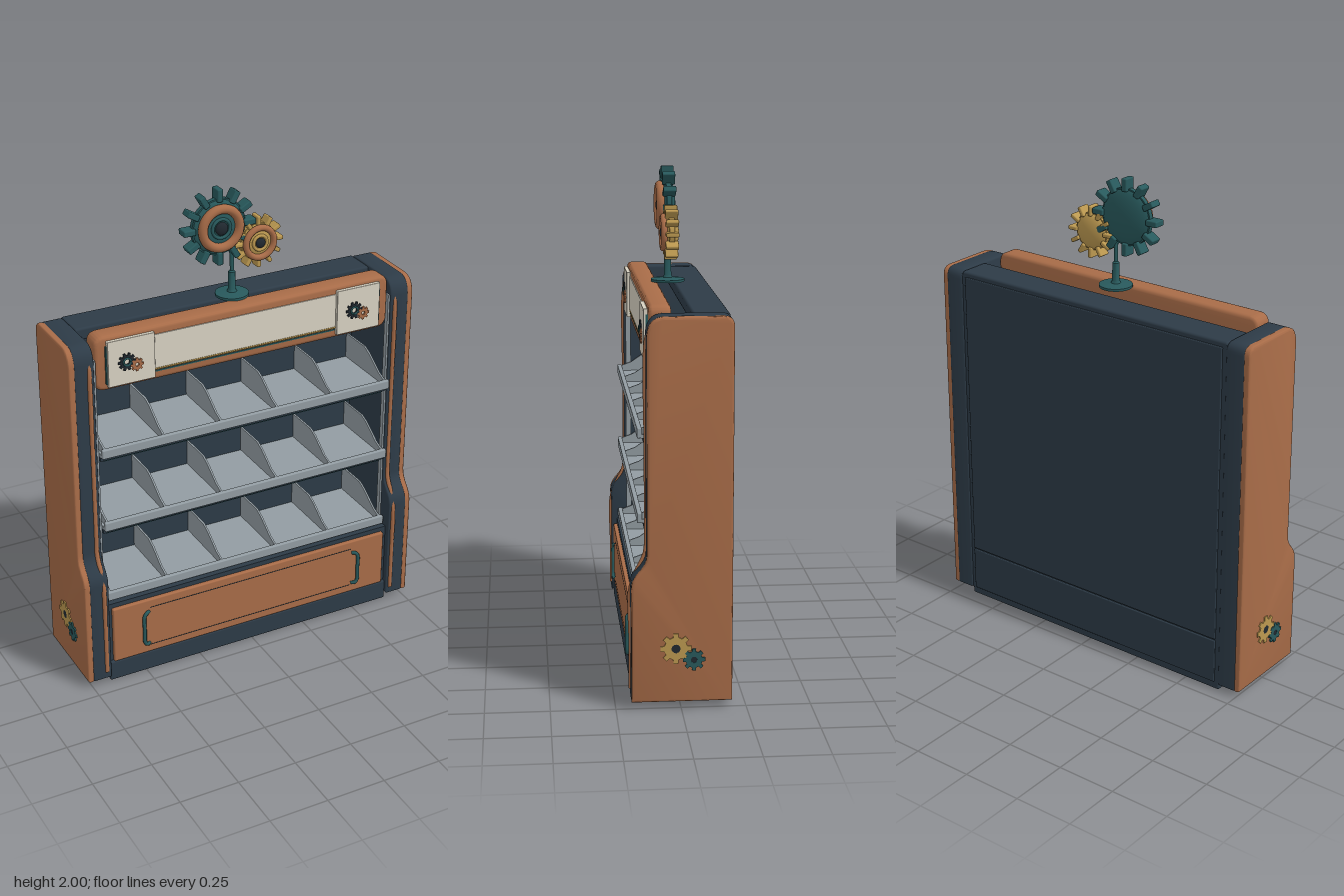
import * as THREE from 'three';
import { RoundedBoxGeometry } from 'three/addons/geometries/RoundedBoxGeometry.js';
import { toCreasedNormals } from 'three/addons/utils/BufferGeometryUtils.js';

const mat = (name, color) => {
  const m = new THREE.MeshStandardMaterial({ color });
  m.name = name;
  return m;
};

export function createModel() {
  const model = new THREE.Group();
  model.name = 'displayStand';
  const navy = mat('navy', 0x2d3b47), orange = mat('copper', 0xa86c48), grey = mat('grey', 0x929ca2);
  const cream = mat('cream', 0xd8d2c2), gold = mat('gold', 0xbb9850), teal = mat('teal', 0x28595c);
  const dark = mat('dark', 0x20282f);

  const add = (name, geo, material, x = 0, y = 0, z = 0, parent = model) => {
    const m = new THREE.Mesh(geo, material);
    m.name = name;
    m.position.set(x, y, z);
    parent.add(m);
    return m;
  };
  // Box given by its limits, optionally with rounded edges
  const box = (name, material, x0, x1, y0, y1, z0, z1, r = 0) => {
    const s = [x1 - x0, y1 - y0, z1 - z0];
    const geo = r ? new RoundedBoxGeometry(...s, 2, r) : new THREE.BoxGeometry(...s);
    return add(name, geo, material, (x0 + x1) / 2, (y0 + y1) / 2, (z0 + z1) / 2);
  };
  // Extrude a (z, y) outline along x, centred on x = 0
  const sideExtrude = (shape, width, bevel = 0) => {
    const geo = new THREE.ExtrudeGeometry(shape, {
      depth: width - 2 * bevel, bevelEnabled: bevel > 0, bevelSize: bevel, bevelThickness: bevel,
      bevelOffset: -bevel, bevelSegments: 3, curveSegments: 8,
    });
    geo.translate(0, 0, -(width - 2 * bevel) / 2).rotateY(-Math.PI / 2);
    return toCreasedNormals(geo, 0.6);
  };

  // Cabinet side outline with a swelling at the lower front
  const side = new THREE.Shape();
  side.moveTo(-0.195, 0.03);
  side.lineTo(0.19, 0.03);
  side.lineTo(0.19, 0.48);
  side.bezierCurveTo(0.19, 0.54, 0.13, 0.55, 0.13, 0.61);
  side.lineTo(0.13, 1.445);
  side.quadraticCurveTo(0.125, 1.515, 0.06, 1.515);
  side.lineTo(-0.155, 1.515);
  side.quadraticCurveTo(-0.195, 1.515, -0.195, 1.475);
  side.closePath();
  const coreGeo = sideExtrude(side, 0.085, 0.008);
  const cheekGeo = sideExtrude(side, 0.03, 0.01);

  // Trim tube following the front edge
  const trimPath = new THREE.CatmullRomCurve3([
    [0.06, 0.187], [0.25, 0.187], [0.46, 0.187], [0.53, 0.163], [0.6, 0.131], [0.7, 0.127],
    [1.0, 0.127], [1.4, 0.127], [1.455, 0.115], [1.48, 0.095],
  ].map(([y, z]) => new THREE.Vector3(0, y, z)));
  const trimGeo = new THREE.TubeGeometry(trimPath, 60, 0.01, 8);

  for (const s of [1, -1]) {
    add('sidePanel', coreGeo, navy, s * 0.7055);
    add('sideCheek', cheekGeo, orange, s * 0.755);
    add('sideTrim', trimGeo, orange, s * 0.684);
    box('innerLiner', grey, s * 0.659 - 0.004, s * 0.659 + 0.004, 0.38, 1.45, 0.1, 0.122);
  }

  // Carcass
  box('plinth', navy, -0.665, 0.665, 0, 0.09, -0.19, 0.18, 0.008);
  box('lowerBody', navy, -0.665, 0.665, 0.08, 0.365, -0.18, 0.165);
  box('backWall', navy, -0.665, 0.665, 0.03, 1.5, -0.19, -0.165);
  box('roof', navy, -0.665, 0.665, 1.46, 1.512, -0.19, -0.05, 0.01);
  box('backPlateUpper', navy, -0.645, 0.645, 0.232, 1.49, -0.198, -0.188, 0.004);
  box('backPlateLower', navy, -0.645, 0.645, 0.035, 0.226, -0.198, -0.188, 0.004);

  // Shelves with lips and dividers
  const divider = new THREE.Shape([
    [-0.166, -0.02], [0.142, -0.02], [0.142, 0.015], [0.1, 0.03], [0.02, 0.085], [-0.02, 0.102], [-0.166, 0.102],
  ].map(([z, y]) => new THREE.Vector2(z, y)));
  const dividerGeo = sideExtrude(divider, 0.008);
  for (const y of [0.4, 0.73, 1.06]) {
    box('shelf', grey, -0.655, 0.655, y - 0.022, y - 0.008, -0.166, 0.145);
    box('shelfSupport', navy, -0.655, 0.655, y - 0.042, y - 0.022, -0.166, 0.135);
    box('shelfStrip', teal, -0.64, 0.64, y - 0.048, y - 0.042, 0.115, 0.13);
    box('shelfLip', grey, -0.655, 0.655, y - 0.023, y + 0.017, 0.141, 0.16, 0.005);
    for (let i = 0; i < 6; i++) add('divider', dividerGeo, grey, -0.64 + i * 0.256, y);
  }

  // Drawer front with an outline groove and handles
  box('drawerFront', orange, -0.645, 0.645, 0.09, 0.345, 0.16, 0.182, 0.006);
  for (const y of [0.125, 0.308]) box('drawerGroove', dark, -0.48, 0.48, y - 0.0015, y + 0.0015, 0.181, 0.183);
  for (const s of [1, -1]) {
    const path = new THREE.CatmullRomCurve3([
      [0.485, 0.135, 0.181], [0.5, 0.137, 0.19], [0.51, 0.15, 0.192], [0.511, 0.21, 0.192],
      [0.51, 0.275, 0.192], [0.5, 0.288, 0.19], [0.485, 0.29, 0.181],
    ].map(([x, y, z]) => new THREE.Vector3(s * x, y, z)));
    add('drawerHandle', new THREE.TubeGeometry(path, 30, 0.008, 8), teal);
  }

  // Header sign
  const header = new THREE.Shape();
  const hx = 0.655, y0 = 1.31, y1 = 1.54, r = 0.045;
  header.moveTo(-hx + r, y0);
  header.lineTo(hx - r, y0);
  header.quadraticCurveTo(hx, y0, hx, y0 + r);
  header.lineTo(hx, y1 - r);
  header.quadraticCurveTo(hx, y1, hx - r, y1);
  header.lineTo(-hx + r, y1);
  header.quadraticCurveTo(-hx, y1, -hx, y1 - r);
  header.lineTo(-hx, y0 + r);
  header.quadraticCurveTo(-hx, y0, -hx + r, y0);
  const headerGeo = new THREE.ExtrudeGeometry(header, {
    depth: 0.055, bevelSize: 0.015, bevelThickness: 0.015, bevelOffset: -0.015, bevelSegments: 3,
  });
  add('headerSign', toCreasedNormals(headerGeo, 0.6), orange, 0, 0, 0.045);
  box('headerPanel', cream, -0.6, 0.6, 1.36, 1.505, 0.112, 0.119);
  box('headerGoldLine', gold, -0.41, 0.41, 1.356, 1.362, 0.113, 0.121);
  box('headerLowerLine', teal, -0.6, 0.6, 1.345, 1.351, 0.112, 0.118);

  // Flat toothed wheel outline with a centre hole
  const flatGear = (radius, teeth, depth) => {
    const pts = [];
    for (let i = 0; i < teeth; i++) {
      [[-0.3, 0.75], [-0.2, 1], [0.2, 1], [0.3, 0.75]].forEach(([f, k]) => {
        const a = ((i + f) / teeth) * Math.PI * 2;
        pts.push(new THREE.Vector2(Math.cos(a) * radius * k, Math.sin(a) * radius * k));
      });
    }
    const shape = new THREE.Shape(pts);
    shape.holes.push(new THREE.Path().absarc(0, 0, radius * 0.28, 0, Math.PI * 2, true));
    return new THREE.ExtrudeGeometry(shape, { depth, bevelEnabled: false });
  };
  for (const s of [1, -1]) {
    const x = s * 0.507;
    box('signTile', cream, x - 0.1, x + 0.1, 1.328, 1.522, 0.115, 0.132, 0.003);
    box('signTileEdge', teal, s * 0.609 - 0.003, s * 0.609 + 0.003, 1.34, 1.5, 0.113, 0.124);
    const gx = s * 0.507 - 0.022;
    add('ornamentGear', flatGear(0.037, 10, 0.006), dark, gx, 1.425, 0.132);
    add('ornamentGearRing', new THREE.TorusGeometry(0.015, 0.004, 6, 20), teal, gx, 1.425, 0.138);
    add('ornamentGearSmall', flatGear(0.028, 8, 0.007), orange, gx + 0.042, 1.405, 0.132);
  }

  // Gear pair on each outer side, turned half round for the second side
  for (const s of [1, -1]) {
    const pair = new THREE.Group();
    pair.name = 'sideGears';
    add('goldGear', flatGear(0.06, 8, 0.006), gold, -0.022, 0.245, 0, pair);
    add('tealGear', flatGear(0.043, 8, 0.007), teal, 0.047, 0.2, 0, pair);
    add('goldGearHub', new THREE.CylinderGeometry(0.018, 0.018, 0.006, 20).rotateX(Math.PI / 2), dark, -0.022, 0.245, 0.003, pair);
    add('tealGearHub', new THREE.CylinderGeometry(0.013, 0.013, 0.006, 20).rotateX(Math.PI / 2), dark, 0.047, 0.2, 0.003, pair);
    pair.rotation.y = s * Math.PI / 2;
    pair.position.x = s * 0.769;
    model.add(pair);
  }

  // Topper stand
  const zc = -0.01;
  const standProfile = [
    [0, 1.54], [0.068, 1.54], [0.068, 1.55], [0.02, 1.556], [0.015, 1.565], [0.014, 1.64], [0.008, 1.645], [0.008, 1.8], [0, 1.8],
  ].map(([x, y]) => new THREE.Vector2(x, y));
  add('topperStand', toCreasedNormals(new THREE.LatheGeometry(standProfile, 32), 0.6), teal, 0, 0, zc);

  // Topper gears: domed disc, block teeth, copper ring and hub
  const topGear = (name, x, y, radius, outer, toothWidth, turn, material, ringR, ringTube) => {
    const g = new THREE.Group();
    g.name = name;
    g.position.set(x, y, zc - 0.003);
    model.add(g);
    add('disc', new THREE.SphereGeometry(radius, 40, 20).scale(1, 1, 0.032 / radius), material, 0, 0, 0, g);
    add('rim', new THREE.CylinderGeometry(radius, radius, 0.02, 40).rotateX(Math.PI / 2), material, 0, 0, 0, g);
    const len = outer - radius + 0.012;
    const tooth = new RoundedBoxGeometry(toothWidth, len, 0.052, 2, 0.005);
    for (let i = 0; i < 12; i++) {
      const a = (i / 12) * Math.PI * 2 + turn, d = outer - len / 2;
      add('tooth', tooth, material, -Math.sin(a) * d, Math.cos(a) * d, 0, g).rotation.z = a;
    }
    add('ring', new THREE.TorusGeometry(ringR, ringTube, 12, 40), orange, 0, 0, 0.03, g);
    add('innerRing', new THREE.TorusGeometry(ringR * 0.48, 0.007, 8, 28), material, 0, 0, 0.032, g);
    add('hub', new THREE.SphereGeometry(ringR * 0.34, 20, 12).scale(1, 1, 0.5), dark, 0, 0, 0.034, g);
  };
  topGear('largeGear', -0.06, 1.842, 0.117, 0.158, 0.025, 0, teal, 0.08, 0.019);
  topGear('smallGear', 0.112, 1.75, 0.077, 0.108, 0.017, 0, gold, 0.062, 0.013);

  return model;
}
